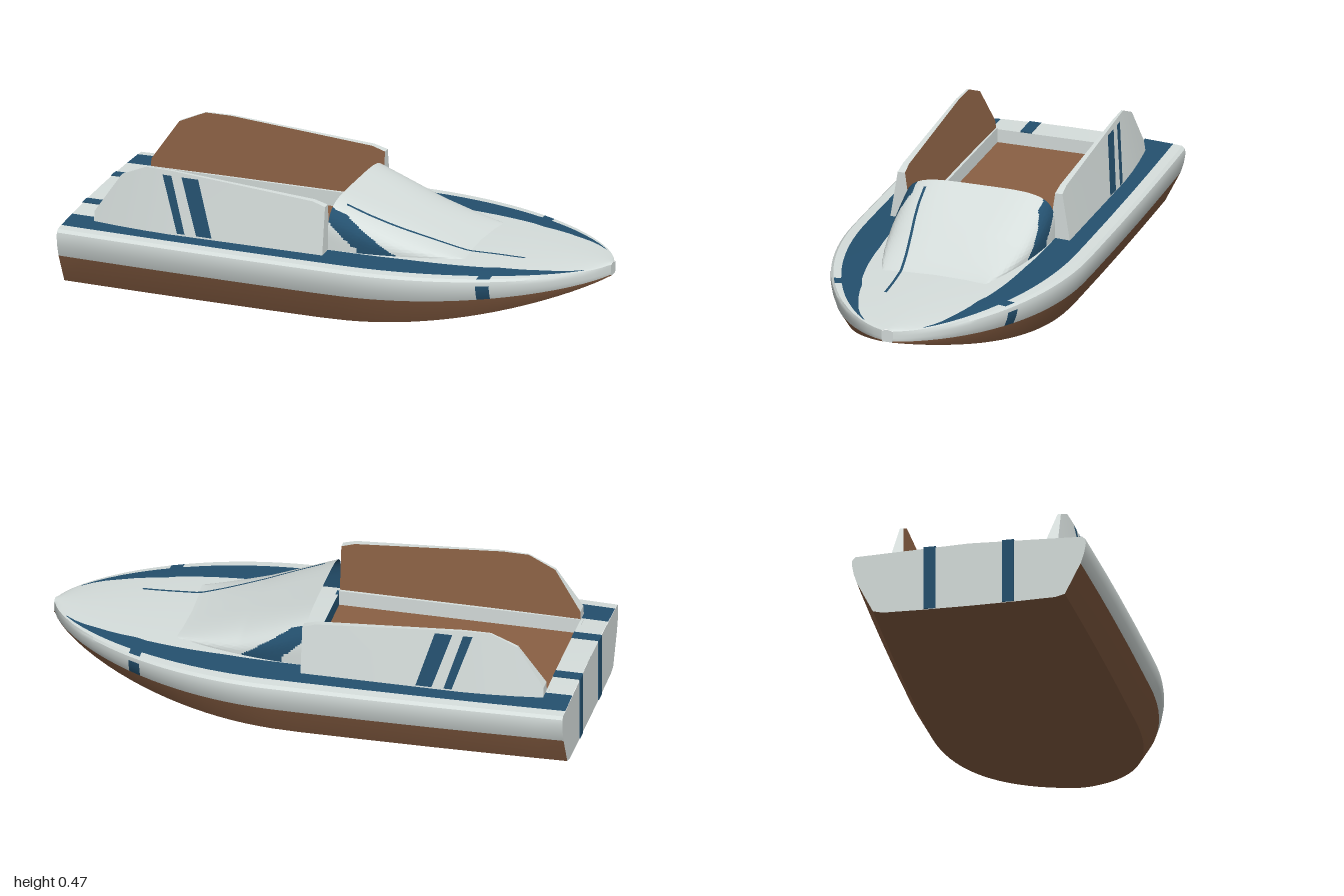
import * as THREE from 'three';
import { toCreasedNormals } from 'three/addons/utils/BufferGeometryUtils.js';

const mat = (name, color) => new THREE.MeshStandardMaterial({ name, color });
const lerp = THREE.MathUtils.lerp;

export function createModel() {
  const boat = new THREE.Group();
  boat.name = 'speedboat';
  const white = mat('white paint', 0xd6dedc);
  const blue = mat('blue trim', 0x24506e);
  const brown = mat('brown', 0x8a6044);
  const palette = [white, blue, brown];
  const WHITE = 0, BLUE = 1, BROWN = 2;

  const add = (name, geometry, material, parent = boat) => {
    const mesh = new THREE.Mesh(geometry, material);
    mesh.name = name;
    parent.add(mesh);
    return mesh;
  };
  const box = (name, material, x0, x1, y0, y1, z0, z1) =>
    add(name, new THREE.BoxGeometry(x1 - x0, y1 - y0, z1 - z0), material)
      .position.set((x0 + x1) / 2, (y0 + y1) / 2, (z0 + z1) / 2);

  // Skin over rows of points; colourOf(row, column) gives a palette entry, or -1 for a gap
  const skin = (name, rows, colourOf, flip = false, crease = 0.5, parent = boat) => {
    const n = rows[0].length, lists = [[], [], []];
    for (let i = 0; i < rows.length - 1; i++) for (let j = 0; j < n - 1; j++) {
      const c = colourOf(i, j);
      if (c < 0) continue;
      const a = i * n + j, b = a + n;
      lists[c].push(...(flip ? [a, b + 1, b, a, a + 1, b + 1] : [a, b, b + 1, a, b + 1, a + 1]));
    }
    const g = new THREE.BufferGeometry();
    g.setAttribute('position', new THREE.Float32BufferAttribute(rows.flat(2), 3));
    g.setIndex(lists.flat());
    let start = 0;
    lists.forEach((l, k) => {
      if (l.length) g.addGroup(start, l.length, k);
      start += l.length;
    });
    return add(name, toCreasedNormals(g, crease), palette, parent);
  };

  // Hull lines along the length
  const table = (pts) => (x) => {
    let k = 0;
    while (k < pts.length - 2 && x > pts[k + 1][0]) k++;
    const [a, b] = [pts[k], pts[k + 1]];
    return lerp(a[1], b[1], THREE.MathUtils.clamp((x - a[0]) / (b[0] - a[0]), 0, 1));
  };
  const halfWidth = (x) => x < 0.1
    ? 0.46 - 0.025 * ((0.1 - x) / 1.1) ** 2
    : Math.max(0.022, 0.46 * Math.max(0, 1 - ((x - 0.1) / 0.9) ** 2) ** 0.66);
  const bowT = (x) => Math.max(0, x);
  const keel = (x) => 0.183 * bowT(x) ** 1.9;
  const waterline = (x) => 0.13 + 0.058 * bowT(x) ** 2;
  const edgeY = (x) => 0.236 - 0.01 * bowT(x) ** 2;
  const crownY = (x) => 0.25 - 0.018 * bowT(x) ** 3;
  const deckY = (x, z) => lerp(edgeY(x), crownY(x), 1 - (z / halfWidth(x)) ** 2);

  const stations = [-1, -0.9, -0.7, -0.5, -0.25, 0, 0.1, 0.15, 0.2, 0.25, 0.3, 0.35, 0.4, 0.45, 0.5,
    0.55, 0.6, 0.645, 0.7, 0.75, 0.8, 0.85, 0.89, 0.93, 0.96, 0.98, 0.992, 0.997, 1];
  const isTick = (i) => stations[i] === 0.6;

  // Hull section from one gunwale, under the keel, to the other
  const section = (x) => {
    const w = halfWidth(x), k = keel(x), wl = waterline(x);
    const half = [[0, k], [0.4 * w, k + 0.001], [0.74 * w, lerp(k, wl, 0.03)], [0.82 * w, lerp(k, wl, 0.1)],
      [0.955 * w, wl], [0.985 * w, lerp(wl, 0.21, 0.5)], [w, lerp(wl, 0.21, 0.97)],
      [0.995 * w, lerp(0.21, edgeY(x), 0.6)], [0.97 * w, edgeY(x)]];
    return [...half.slice(1).reverse().map(([z, y]) => [-z, y]), ...half];
  };
  skin('hull', stations.map((x) => section(x).map(([z, y]) => [x, y, z])), (i, j) => {
    const band = j < 8 ? 7 - j : j - 8;
    if (band < 4) return BROWN;
    return isTick(i) && band < 6 ? BLUE : WHITE;
  });

  // Flat ends of the hull
  const end = (name, x, turn) => {
    const outline = [...section(x), [0, crownY(x)]].map(([z, y]) => new THREE.Vector2(z, y));
    const g = new THREE.ShapeGeometry(new THREE.Shape(outline));
    add(name, g.rotateY(turn).translate(x, 0, 0), white);
  };
  end('transom', -1, -Math.PI / 2);
  end('bowEnd', 1, Math.PI / 2);

  // Deck with blue side bands and an opening for the cockpit
  const bandInner = table([[-1, 0.64], [0.3, 0.63], [0.6, 0.67], [0.645, 0.66], [0.8, 0.73], [0.95, 0.88]]);
  skin('deck', stations.map((x) => {
    const w = halfWidth(x);
    const inner = w * bandInner(x);
    const half = [0.97 * w, 0.89 * w, inner, Math.min(0.27, inner * 0.94), Math.min(0.12, inner * 0.5)];
    return [...half, 0, ...half.slice().reverse().map((z) => -z)]
      .map((z) => [x, Math.abs(z) === 0.97 * w ? edgeY(x) : deckY(x, z), z]);
  }), (i, j) => {
    const strip = Math.min(j, 9 - j);
    if (strip > 2 && stations[i] >= -0.9 && stations[i] < 0) return -1;
    if (strip === 1 && stations[i] < 0.93) return BLUE;
    return strip === 0 && isTick(i) ? BLUE : WHITE;
  });

  // Cockpit tub
  box('cockpitFloor', brown, -0.9, 0, 0.18, 0.195, -0.265, 0.265);
  box('cockpitAftWall', white, -0.91, -0.9, 0.18, 0.246, -0.27, 0.27);
  box('cockpitFrontWall', blue, 0, 0.01, 0.18, 0.246, -0.27, 0.27);

  // Stripes running over the aft deck and down the transom, and cockpit side walls
  for (const s of [1, -1]) {
    const z = s * 0.145;
    box('transomStripe', blue, -1.003, -0.999, 0.003, 0.25, z - 0.022, z + 0.022);
    box('aftDeckStripe', blue, -1.0, -0.9, 0.245, 0.251, z - 0.022, z + 0.022);
    box('cockpitSideWall', white, -0.9, 0, 0.18, 0.252, s * 0.266 - 0.011, s * 0.266 + 0.011);
  }

  // Raised side panels, leaning inwards, with two slanted stripes outside
  const panelTop = [[-0.9, 0.28], [-0.8, 0.43], [-0.7, 0.475], [-0.6, 0.475], [-0.05, 0.435], [0, 0.42]];
  const outerZ = (x, y) => 0.345 - 0.16 * (y - 0.25) - 0.03 * Math.max(0, (-0.5 - x) / 0.4) ** 2;
  const innerZ = (x, y) => 0.266 + 0.14 * (y - 0.25) - 0.006 * Math.max(0, (-0.5 - x) / 0.4);
  for (const s of [1, -1]) {
    const panel = new THREE.Group();
    panel.name = s > 0 ? 'frontSidePanel' : 'backSidePanel';
    boat.add(panel);
    const rows = panelTop.map(([x, y]) => [
      [x, 0.235, s * outerZ(x, 0.235)], [x, y, s * outerZ(x, y)], [x, y, s * innerZ(x, y)],
      [x, 0.235, s * innerZ(x, 0.235)], [x, 0.235, s * outerZ(x, 0.235)]]);
    const closed = (row) => row.map(() => [row[0][0], 0.26, s * 0.3]);
    const all = [closed(rows[0]), ...rows, closed(rows[rows.length - 1])];
    skin('panelShell', all, (i, j) => (j === 2 && i > 0 && i < all.length - 2 ? BROWN : WHITE),
      s < 0, 0.3, panel);
    for (const [t0, t1, b0, b1] of [[-0.635, -0.6, -0.565, -0.535], [-0.56, -0.495, -0.49, -0.43]]) {
      const at = (x, y) => [x, y, s * (outerZ(x, y) + 0.004)];
      skin('panelStripe', [[at(b0, 0.25), at(t0, 0.458)], [at(b1, 0.25), at(t1, 0.458)]],
        () => BLUE, s < 0, 0.5, panel);
    }
  }

  // Hood sweeping from the cockpit down to the foredeck, squarer at its tall end
  const hoodBase = 0.243;
  const hoodH = (x) => 0.17 * Math.max(0, 1 - x / 0.51) ** 1.15;
  const hoodB = (x) => 0.29 - 0.09 * (x / 0.5) ** 2;
  const hoodPower = (x) => 3 + 1.5 * Math.max(0, 1 - x / 0.25);
  const NX = 60, NA = 100;
  const hood = [];
  for (let i = 0; i <= NX; i++) {
    const x = 0.51 * i / NX, p = 2 / hoodPower(x), row = [];
    for (let j = 0; j <= NA; j++) {
      const a = Math.PI * j / NA, c = Math.cos(a);
      row.push([x, hoodBase + hoodH(x) * Math.abs(Math.sin(a)) ** p,
        hoodB(x) * Math.sign(c) * Math.abs(c) ** p]);
    }
    hood.push(row);
  }
  skin('hood', hood, (i, j) => {
    const [x, y, z] = hood[i][j];
    const onBand = Math.abs(z) > 0.245 && y < 0.405 - 0.65 * x && y > 0.345 - 0.95 * x;
    return onBand ? BLUE : WHITE;
  }, false, 1);
  skin('hoodLining', hood, () => BLUE, true, 1);

  // Thin pinstripe along one shoulder of the hood
  const lineZ = table([[0.04, 0.198], [0.12, 0.193], [0.2, 0.181], [0.3, 0.161], [0.4, 0.142],
    [0.5, 0.127], [0.6, 0.119], [0.7, 0.115]]);
  const topY = (x, z) => {
    const n = hoodPower(x), f = Math.max(0, 1 - (Math.abs(z) / hoodB(x)) ** n);
    return Math.max(deckY(x, z), hoodBase + hoodH(x) * f ** (1 / n)) + 0.004;
  };
  const line = [];
  for (let i = 0; i <= 30; i++) {
    const x = 0.04 + 0.66 * i / 30, z = lineZ(x);
    line.push([z + 0.005, z - 0.005].map((v) => [x, topY(x, v), v]));
  }
  skin('hoodPinstripe', line, () => BLUE, false, 1);

  return boat;
}
